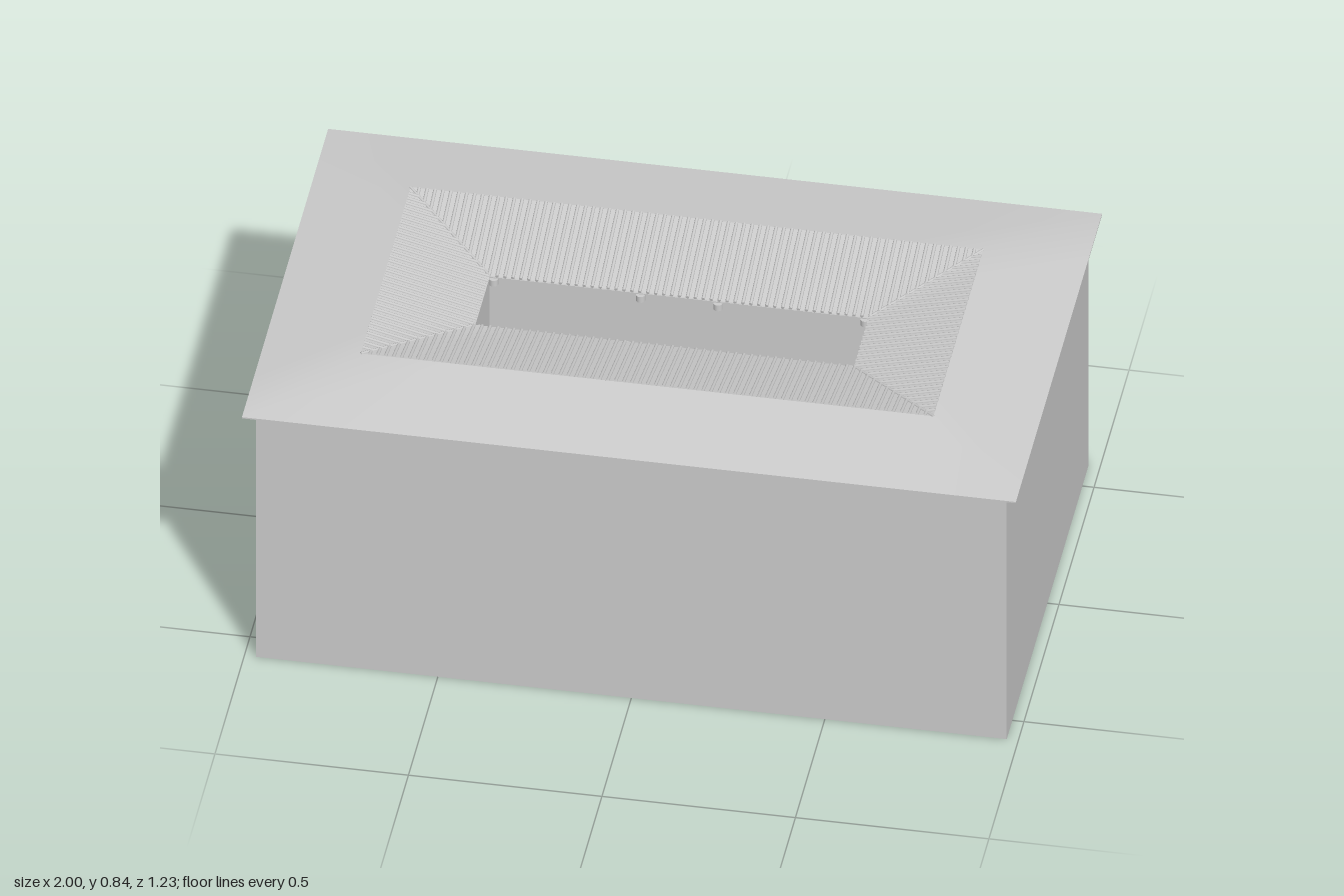
import * as THREE from 'three';
import { mergeGeometries } from 'three/addons/utils/BufferGeometryUtils.js';

const EAVE = { x: 1, z: 0.615, y: 0.788 };
const RIDGE = { x: 0.74, z: 0.355, y: 0.832 };
const COURT = { x: 0.49, z: 0.105, y: 0.77 };

// Upright rectangular tube: outer half sizes, hole half sizes, height
function frame(x, z, hx, hz, h) {
  const rect = (path, a, b) => path.moveTo(-a, -b).lineTo(a, -b).lineTo(a, b).lineTo(-a, b).closePath();
  const shape = rect(new THREE.Shape(), x, z);
  shape.holes.push(rect(new THREE.Path(), hx, hz));
  return new THREE.ExtrudeGeometry(shape, { depth: h, bevelEnabled: false }).rotateX(-Math.PI / 2);
}

// Four sloping roof planes between an outer and an inner rectangle
function slopes(outer, inner) {
  const corners = [[1, 1], [1, -1], [-1, -1], [-1, 1]], steps = [0, 0.15, 0.85];
  const pos = [], index = [];
  for (let i = 0; i < 4; i++) {
    const a = corners[i], b = corners[(i + 1) % 4];
    for (const t of steps) {
      const sx = a[0] + (b[0] - a[0]) * t, sz = a[1] + (b[1] - a[1]) * t;
      for (const r of [outer, inner]) pos.push(sx * r.x, r.y, sz * r.z);
    }
  }
  const n = pos.length / 3;
  for (let k = 0; k < n; k += 2) {
    const m = (k + 2) % n;
    index.push(k, m, m + 1, k, m + 1, k + 1);
  }
  const g = new THREE.BufferGeometry();
  g.setAttribute('position', new THREE.Float32BufferAttribute(pos, 3));
  g.setIndex(index);
  g.computeVertexNormals();
  return g;
}

// Round cover tile running from a to b
function rib(a, b, r) {
  const dir = b.clone().sub(a), len = dir.length();
  const g = new THREE.CylinderGeometry(r, r, len, 8);
  g.applyQuaternion(new THREE.Quaternion().setFromUnitVectors(new THREE.Vector3(0, 1, 0), dir.normalize()));
  const mid = a.clone().add(b).multiplyScalar(0.5);
  return g.translate(mid.x, mid.y, mid.z);
}

export function createModel() {
  const model = new THREE.Group();
  const solid = new THREE.MeshStandardMaterial({ color: 0xcccccc });
  const thin = new THREE.MeshStandardMaterial({ color: 0xcccccc, side: THREE.DoubleSide });
  const add = (name, geometry, material = solid, y = 0, z = 0) => {
    const mesh = new THREE.Mesh(geometry, material);
    mesh.name = name;
    mesh.position.set(0, y, z);
    model.add(mesh);
    return mesh;
  };

  // House body around an open courtyard
  add('outerWalls', frame(0.97, 0.585, 0.94, 0.555, 0.786), solid, 0, -0.005);
  add('floor', new THREE.BoxGeometry(1.94, 0.01, 1.17), solid, 0.005, -0.005);
  add('courtyardWalls', frame(COURT.x + 0.02, COURT.z + 0.02, COURT.x, COURT.z, 0.766));

  // Outer roof with a thin eave, and the roof falling in to the courtyard
  add('eave', frame(EAVE.x, EAVE.z, 0.95, 0.565, 0.004), solid, 0.784);
  add('outerRoof', slopes(EAVE, RIDGE), thin);
  add('innerRoof', slopes(RIDGE, COURT), thin);

  // Rows of cover tiles running down the inner roof, cut off at the hips
  const run = RIDGE.x - COURT.x, fall = RIDGE.y - COURT.y, pitch = 0.0205;
  const tiles = [];
  const row = (half, place) => {
    const n = Math.floor(half / pitch);
    for (let i = -n; i <= n; i++) {
      const t = i * pitch, d = Math.min(run, half - Math.abs(t));
      if (d < 0.01) continue;
      for (const s of [1, -1]) {
        tiles.push(rib(place(t, 0, s, RIDGE.y), place(t, d, s, RIDGE.y - fall * d / run), 0.0045));
      }
    }
  };
  row(RIDGE.x, (t, d, s, y) => new THREE.Vector3(t, y, s * (RIDGE.z - d)));
  row(RIDGE.z, (t, d, s, y) => new THREE.Vector3(s * (RIDGE.x - d), y, t));
  add('coverTiles', mergeGeometries(tiles));

  // Hip tiles at the four corners
  const hips = [];
  for (const sx of [1, -1]) for (const sz of [1, -1]) {
    hips.push(rib(new THREE.Vector3(sx * RIDGE.x, RIDGE.y, sz * RIDGE.z),
      new THREE.Vector3(sx * COURT.x, COURT.y, sz * COURT.z), 0.004));
  }
  add('hipTiles', mergeGeometries(hips));

  // Small half-round water spouts under the courtyard edge
  for (const s of [1, -1]) for (const x of [-0.48, -0.1, 0.1, 0.48]) {
    const spout = add('waterSpout', new THREE.CylinderGeometry(0.012, 0.012, 0.018, 12), solid, 0.754, s * COURT.z);
    spout.position.x = x;
  }
  return model;
}
